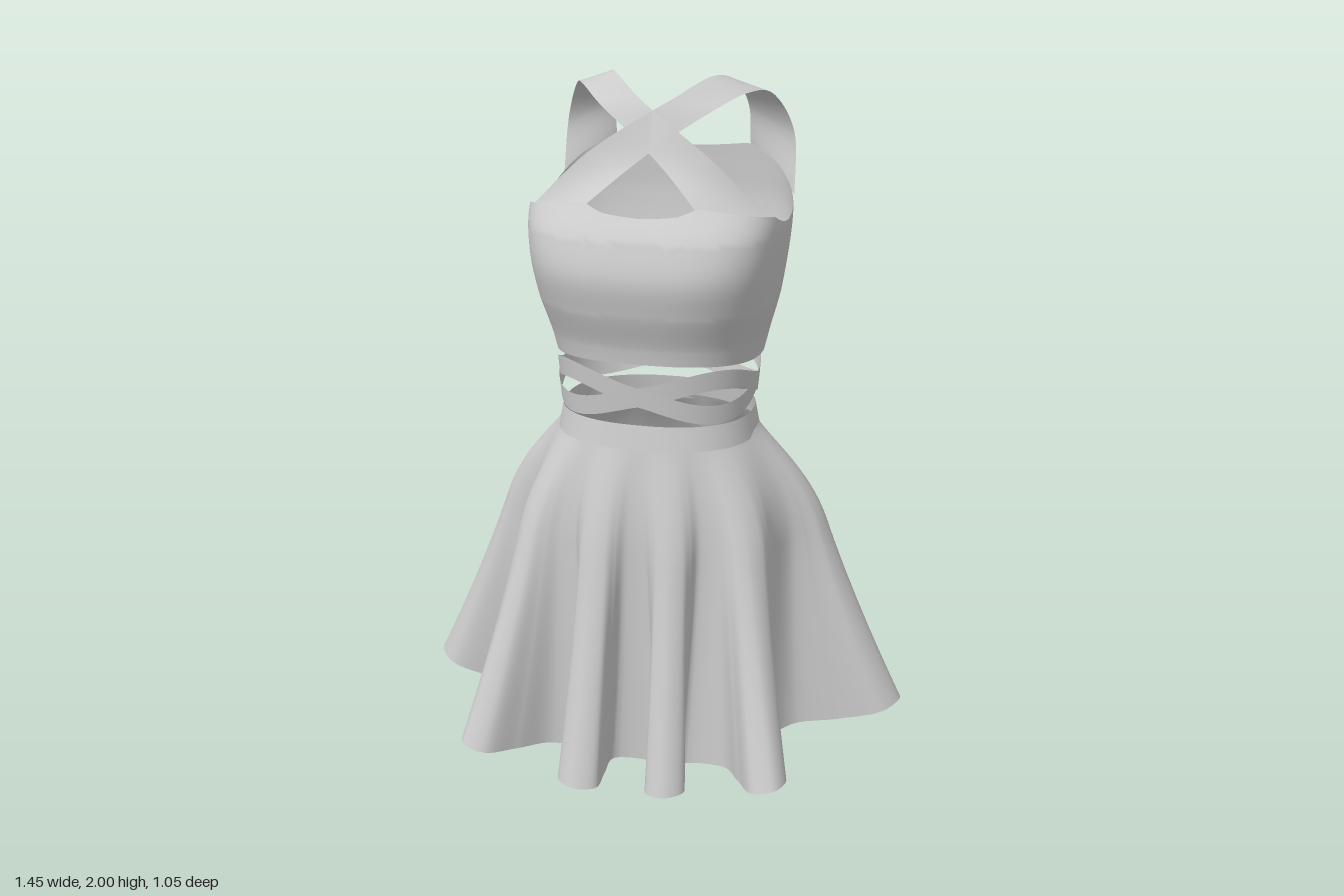
import * as THREE from 'three';
import { ParametricGeometry } from 'three/addons/geometries/ParametricGeometry.js';

const { lerp, smoothstep, clamp } = THREE.MathUtils;
const cloth = new THREE.MeshStandardMaterial({ color: 0xcccccc, side: THREE.DoubleSide });

// Sheet of cloth from a rule (u, v) -> point
function sheet(name, nu, nv, rule) {
  const mesh = new THREE.Mesh(new ParametricGeometry(rule, nu, nv), cloth);
  mesh.name = name;
  return mesh;
}

// Signed power, squares off an ellipse when e < 1
const spow = (a, e) => Math.sign(a) * Math.pow(Math.abs(a), e);

// Piecewise linear lookup in [key, value] pairs
function lookup(table, k) {
  for (let i = 1; i < table.length; i++) {
    const [k0, v0] = table[i - 1], [k1, v1] = table[i];
    if (k <= k1) return lerp(v0, v1, (k - k0) / (k1 - k0));
  }
  return table[table.length - 1][1];
}

// Skirt folds, seen from above: tip x, z, neck x, z, half width at neck and at tip
const folds = [
  [0.72, -0.03, 0.40, 0.01, 0.035, 0.07],
  [0.445, 0.475, 0.29, 0.28, 0.045, 0.055],
  [0.125, 0.51, 0.095, 0.30, 0.035, 0.055],
  [-0.145, 0.52, -0.11, 0.30, 0.035, 0.06],
  [-0.50, 0.45, -0.30, 0.26, 0.045, 0.055],
  [-0.725, -0.02, -0.38, -0.02, 0.045, 0.07],
  [-0.48, -0.345, -0.27, -0.28, 0.08, 0.05],
  [0.015, -0.50, -0.09, -0.32, 0.07, 0.06],
  [0.295, -0.53, 0.255, -0.25, 0.03, 0.07],
];

// Closed hem line running out and back around every fold, seven points per fold
function hemLine() {
  const pts = [];
  for (const [tx, tz, nx, nz, wn, wt] of folds) {
    const len = Math.hypot(tx - nx, tz - nz);
    const dx = (tx - nx) / len, dz = (tz - nz) / len;
    const add = (along, across) => pts.push(new THREE.Vector3(
      nx + dx * len * along - dz * across, 0, nz + dz * len * along + dx * across));
    add(0, -wn);
    add(0.45, -(wn + wt) / 2);
    add(0.85, -wt);
    add(1, 0);
    add(0.85, wt);
    add(0.45, (wn + wt) / 2);
    add(0, wn);
  }
  return new THREE.CatmullRomCurve3(pts, true, 'centripetal');
}

function makeSkirt() {
  const hem = hemLine(), n = folds.length;
  const angles = folds.map(([x, z]) => Math.atan2(z - 0.02, x));
  for (let i = 1; i < n; i++) while (angles[i] < angles[i - 1]) angles[i] += 2 * Math.PI;
  const foldAngle = (k) => {
    const turn = Math.floor(k / n);
    return angles[k - turn * n] + turn * 2 * Math.PI;
  };
  const h = new THREE.Vector3();
  return sheet('skirt', n * 42, 40, (u, t, p) => {
    hem.getPoint(u % 1, h);
    // Angle at the waist that belongs to this place on the hem
    const k = (u * n * 7 - 3) / 7, k0 = Math.floor(k);
    const a = lerp(foldAngle(k0), foldAngle(k0 + 1), k - k0);
    // Round hips fade into the folded hem
    const hip = Math.sin(Math.min(1, t / 0.35) * Math.PI / 2);
    const w = Math.pow(t, 1.3);
    const x = lerp(0.288, 0.41, hip) * Math.cos(a);
    const z = lerp(0.065, 0.025, hip) + lerp(0.228, 0.30, hip) * Math.sin(a);
    const hemY = 0.003 + 0.27 * h.x * h.x + 0.2 * Math.min(0, h.z) ** 2;
    p.set(lerp(x, h.x, w), lerp(1.0, hemY, t), lerp(z, h.z, w));
  });
}

// Half width, front z and back z of the bodice, from y = 1.18 to y = 1.8
const bodiceProfile = new THREE.CatmullRomCurve3([
  [0.285, 0.30, -0.165], [0.31, 0.315, -0.175], [0.337, 0.352, -0.19], [0.352, 0.37, -0.20],
  [0.362, 0.345, -0.21], [0.357, 0.265, -0.21], [0.345, 0.21, -0.205],
].map((q) => new THREE.Vector3(...q)));

// Height of the top edge by degrees away from the side seam
const frontEdge = [[0, 1.61], [18, 1.65], [74, 1.685], [82, 1.663], [90, 1.655]];
const backEdge = [[0, 1.61], [10, 1.625], [18, 1.65], [45, 1.725], [66, 1.77], [90, 1.75]];

function makeBodice() {
  const q = new THREE.Vector3();
  return sheet('bodice', 128, 32, (u, v, p) => {
    const a = u * 2 * Math.PI, c = Math.cos(a), s = Math.sin(a);
    const deg = Math.asin(Math.min(1, Math.abs(s))) * 180 / Math.PI;
    const top = lookup(s > 0 ? frontEdge : backEdge, deg);
    const y = lerp(top, 1.215 + 0.025 * s, v);
    bodiceProfile.getPoint(clamp((y - 1.18) / 0.62, 0, 1), q);
    const e = lerp(0.8, 0.62, smoothstep(y, 1.2, 1.6));
    const reach = s > 0 ? q.y - 0.03 : 0.03 - q.z;
    p.set(q.x * spow(c, e), y, 0.03 + reach * spow(s, e));
  });
}

// Strap from the back over one shoulder, crossing to the other side of the chest
function makeStrap(side) {
  const curve = (pts) => new THREE.CatmullRomCurve3(
    pts.map(([x, y, z]) => new THREE.Vector3(x * side, y, z)));
  const outer = curve([
    [-0.345, 1.64, -0.14], [-0.335, 1.82, -0.165], [-0.285, 1.94, -0.09], [-0.235, 1.955, 0.01],
    [-0.17, 1.925, 0.09], [-0.06, 1.855, 0.155], [0.05, 1.77, 0.205], [0.16, 1.675, 0.275]]);
  const inner = curve([
    [-0.2, 1.765, -0.207], [-0.2, 1.88, -0.18], [-0.18, 1.97, -0.09], [-0.14, 2.0, 0.02],
    [-0.05, 1.95, 0.11], [0.05, 1.89, 0.16], [0.18, 1.80, 0.185], [0.343, 1.64, 0.17]]);
  const a = new THREE.Vector3(), b = new THREE.Vector3();
  return sheet(side > 0 ? 'rightStrap' : 'leftStrap', 6, 48, (u, v, p) => {
    outer.getPoint(v, a);
    inner.getPoint(v, b);
    p.lerpVectors(a, b, side > 0 ? 1 - u : u);
  });
}

// Narrow band around the waist; sway makes it rise and fall twice per turn
function makeBand(name, y, height, sway, rxTop, rxBottom) {
  return sheet(name, 96, 4, (u, v, p) => {
    const a = u * 2 * Math.PI, rx = lerp(rxTop, rxBottom, v);
    p.set(rx * spow(Math.cos(a), 0.85),
      y + sway * Math.sin(2 * a) + height * (0.5 - v),
      0.067 + (rx - 0.053) * spow(Math.sin(a), 0.85));
  });
}

export function createModel() {
  const dress = new THREE.Group();
  dress.name = 'dress';
  dress.add(
    makeSkirt(),
    makeBand('waistband', 1.02, 0.07, 0, 0.277, 0.29),
    makeBand('waistWrapA', 1.14, 0.058, 0.05, 0.288, 0.282),
    makeBand('waistWrapB', 1.14, 0.058, -0.05, 0.291, 0.285),
    makeBodice(),
    makeStrap(1),
    makeStrap(-1),
  );
  return dress;
}
